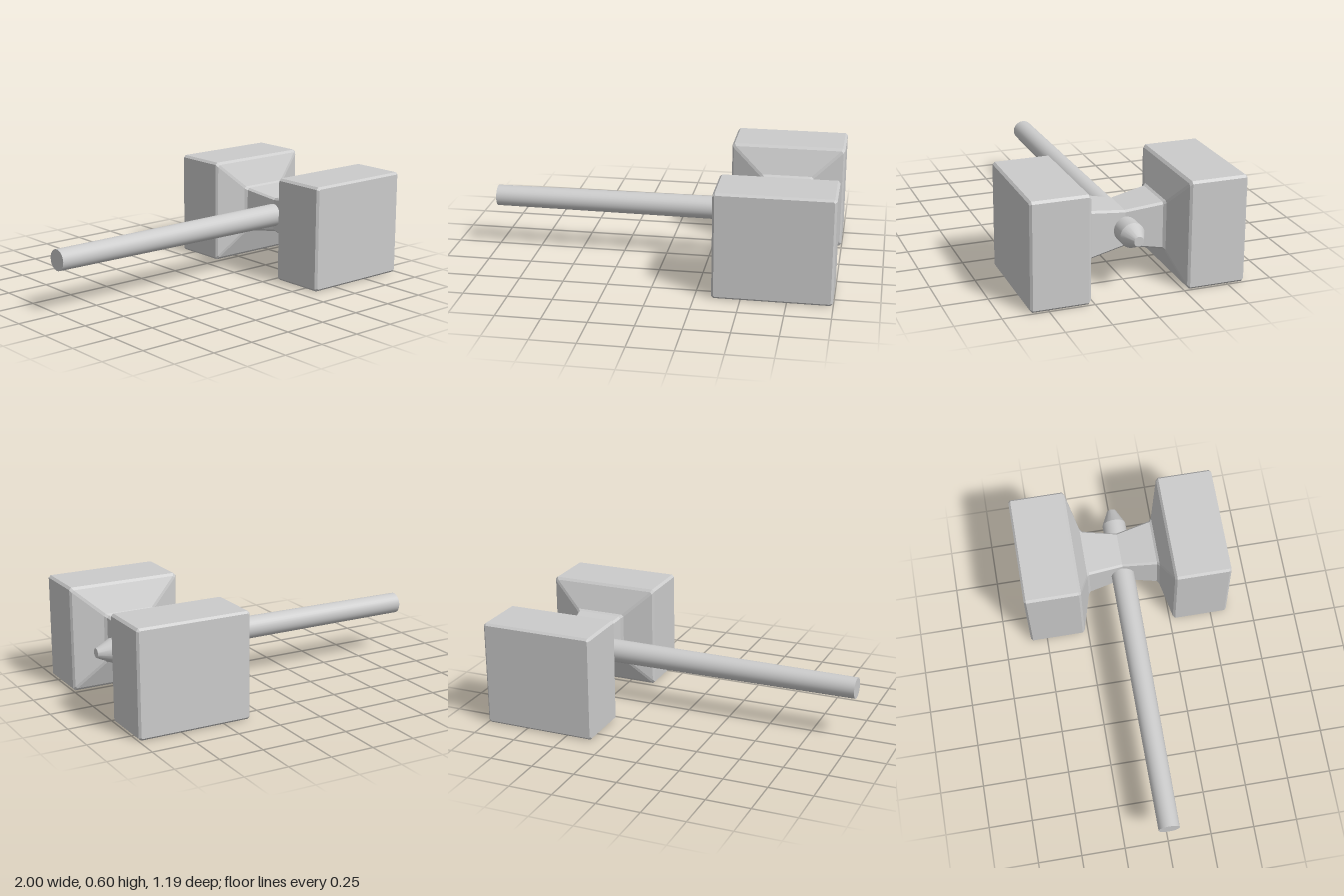
import * as THREE from 'three';
import { toCreasedNormals } from 'three/addons/utils/BufferGeometryUtils.js';

const HEAD_X = 0.67, AXIS_Y = 0.302;

// Rectangle with chamfered corners, counter-clockwise, at depth z
function ring(z, hx, hy, c) {
  return [
    [hx, -hy + c], [hx, hy - c], [hx - c, hy], [-hx + c, hy],
    [-hx, hy - c], [-hx, -hy + c], [-hx + c, -hy], [hx - c, -hy],
  ].map(([x, y]) => [x, y, z]);
}

// Closed, flat-faced skin over rings ordered by rising z
function loft(rings) {
  const pos = [];
  const tri = (a, b, c) => pos.push(...a, ...b, ...c);
  const n = rings[0].length;
  for (let i = 0; i < rings.length - 1; i++) {
    for (let j = 0; j < n; j++) {
      const k = (j + 1) % n;
      tri(rings[i][j], rings[i][k], rings[i + 1][k]);
      tri(rings[i][j], rings[i + 1][k], rings[i + 1][j]);
    }
  }
  const first = rings[0], last = rings[rings.length - 1];
  for (let j = 1; j < n - 1; j++) {
    tri(last[0], last[j], last[j + 1]);
    tri(first[0], first[j + 1], first[j]);
  }
  const geo = new THREE.BufferGeometry();
  geo.setAttribute('position', new THREE.Float32BufferAttribute(pos, 3));
  geo.computeVertexNormals();
  return geo;
}

export function createModel() {
  const group = new THREE.Group();
  const mat = new THREE.MeshStandardMaterial({ color: 0xcccccc });

  // Double head: waist at z = 0, flaring to a block at each end [z, halfX, halfY, chamfer]
  const half = [
    [0, 0.108, 0.102, 0.011],
    [0.2, 0.141, 0.134, 0.012],
    [0.213, 0.155, 0.143, 0.012],
    [0.27, 0.318, 0.288, 0.012],
    [0.283, 0.328, 0.302, 0.013],
    [0.585, 0.328, 0.302, 0.013],
    [0.597, 0.316, 0.29, 0.006],
  ];
  const back = half.slice(1).reverse().map(([z, ...r]) => [-z, ...r]);
  const head = new THREE.Mesh(loft([...back, ...half].map((s) => ring(...s))), mat);
  head.name = 'hammerHead';
  head.position.set(HEAD_X, AXIS_Y, 0);
  group.add(head);

  // Handle: slightly tapered shaft with a blunt cone beyond the head [radius, x]
  const profile = [[0, -1], [0.06, -1], [0.069, 0.88], [0.027, 0.97], [0, 0.97]]
    .map(([r, x]) => new THREE.Vector2(r, x));
  const shaft = new THREE.LatheGeometry(profile, 32).rotateZ(-Math.PI / 2);
  const handle = new THREE.Mesh(toCreasedNormals(shaft, 0.35), mat);
  handle.name = 'handle';
  handle.position.y = AXIS_Y;
  group.add(handle);

  return group;
}
